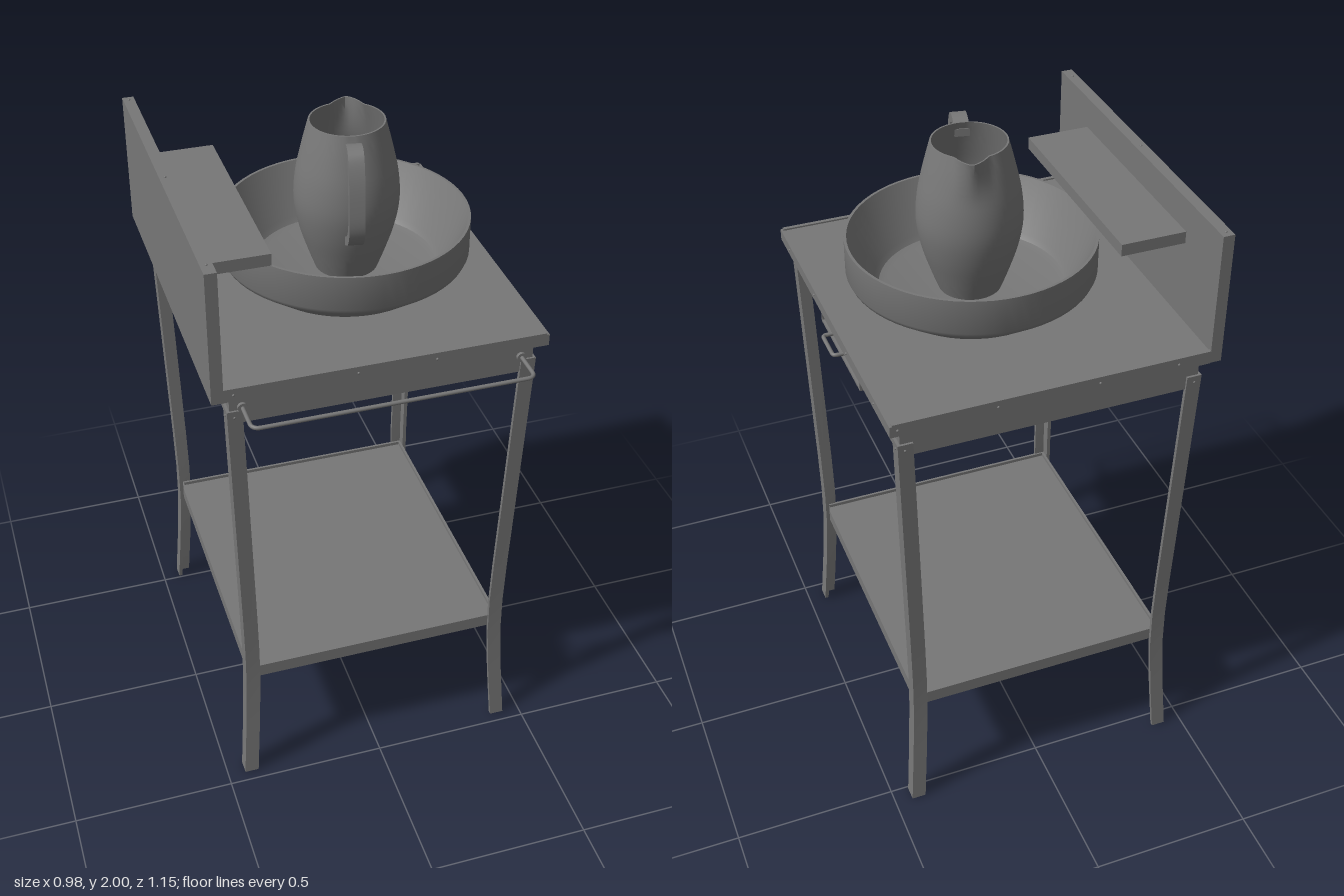
import * as THREE from 'three';
import { toCreasedNormals } from 'three/addons/utils/BufferGeometryUtils.js';

const darkGrey = new THREE.MeshStandardMaterial({ color: 0x777777 });

function add(parent, name, geo) {
  const mesh = new THREE.Mesh(geo, darkGrey);
  mesh.name = name;
  parent.add(mesh);
  return mesh;
}

// Box given by its limits on each axis
function box(parent, name, x0, x1, y0, y1, z0, z1) {
  const mesh = add(parent, name, new THREE.BoxGeometry(x1 - x0, y1 - y0, z1 - z0));
  mesh.position.set((x0 + x1) / 2, (y0 + y1) / 2, (z0 + z1) / 2);
  return mesh;
}

const vec2 = (list) => list.map(([a, b]) => new THREE.Vector2(a, b));

// Angle-iron leg: an L section, corner outward, swept up through a gentle bend
function legGeometry(sx, sz) {
  const w = 0.044, t = 0.012;
  const L = [[0, 0], [w, 0], [w, t], [t, t], [t, w], [0, w]];
  const section = sx * sz > 0 ? L : [L[0], ...L.slice(1).reverse()];
  const path = [[0, 0.445], [0.2, 0.431], [0.37, 0.422], [0.5, 0.421], [0.65, 0.424], [1.44, 0.446]];
  const n = section.length, pos = [], index = [];
  for (const [y, out] of path)
    for (const [a, b] of section) pos.push(sx * (out - a), y, -0.042 + sz * (out + 0.064 - b));
  for (let j = 0; j < path.length - 1; j++)
    for (let i = 0; i < n; i++) {
      const a = j * n + i, b = j * n + (i + 1) % n;
      index.push(a, a + n, b, b, a + n, b + n);
    }
  const top = (path.length - 1) * n;
  for (let i = 1; i < n - 1; i++) index.push(0, i, i + 1, top, top + i + 1, top + i);
  const geo = new THREE.BufferGeometry();
  geo.setAttribute('position', new THREE.Float32BufferAttribute(pos, 3));
  geo.setIndex(index);
  return toCreasedNormals(geo, 0.5);
}

// U-shaped rod along x, reaching out to +z, with rounded corners
function rodGeometry(half, depth, bend, radius) {
  const v = (x, z) => new THREE.Vector3(x, 0, z);
  const path = new THREE.CurvePath();
  path.add(new THREE.LineCurve3(v(-half, 0), v(-half, depth - bend)));
  path.add(new THREE.QuadraticBezierCurve3(v(-half, depth - bend), v(-half, depth), v(-half + bend, depth)));
  path.add(new THREE.LineCurve3(v(-half + bend, depth), v(half - bend, depth)));
  path.add(new THREE.QuadraticBezierCurve3(v(half - bend, depth), v(half, depth), v(half, depth - bend)));
  path.add(new THREE.LineCurve3(v(half, depth - bend), v(half, 0)));
  return new THREE.TubeGeometry(path, 160, radius, 10, false);
}

function makeTable() {
  const g = new THREE.Group();
  g.name = 'table';
  box(g, 'tableTop', -0.457, 0.472, 1.49, 1.525, -0.572, 0.488);
  for (const z of [-0.572, 0.476]) box(g, 'topHem', -0.457, 0.465, 1.52, 1.53, z, z + 0.012);
  box(g, 'apron', -0.438, 0.438, 1.397, 1.49, -0.545, 0.462);

  for (const sx of [-1, 1]) for (const sz of [-1, 1]) add(g, 'leg', legGeometry(sx, sz));

  // Lower shelf: a tray with a thin raised edge
  box(g, 'lowerShelf', -0.41, 0.41, 0.389, 0.421, -0.516, 0.434);
  for (const x of [-0.41, 0.402]) box(g, 'shelfLip', x, x + 0.008, 0.389, 0.432, -0.516, 0.434);
  for (const z of [-0.516, 0.426]) box(g, 'shelfLip', -0.41, 0.41, 0.389, 0.432, z, z + 0.008);

  // Splash board with its small ledge
  box(g, 'splashBoard', -0.491, -0.457, 1.49, 1.892, -0.57, 0.489);
  box(g, 'ledge', -0.457, -0.264, 1.762, 1.798, -0.373, 0.287);
  return g;
}

function makeDrawer() {
  const g = new THREE.Group();
  g.name = 'drawer';
  box(g, 'drawerFront', 0.42, 0.441, 1.402, 1.477, -0.22, 0.145);
  for (const y of [1.395, 1.475]) box(g, 'drawerFrame', 0.42, 0.448, y, y + 0.008, -0.225, 0.15);
  for (const z of [-0.225, 0.142]) box(g, 'drawerFrame', 0.42, 0.448, 1.395, 1.483, z, z + 0.008);
  const handle = add(g, 'drawerHandle', rodGeometry(0.053, 0.046, 0.012, 0.006));
  handle.rotation.y = Math.PI / 2;
  handle.position.set(0.438, 1.44, -0.043);
  for (const z of [-0.096, 0.01]) box(g, 'handlePlate', 0.438, 0.445, 1.428, 1.452, z - 0.018, z + 0.018);
  return g;
}

function makeRail() {
  const g = new THREE.Group();
  g.name = 'towelRail';
  const rail = add(g, 'rail', rodGeometry(0.402, 0.117, 0.025, 0.006));
  rail.position.set(0, 1.45, 0.452);
  for (const x of [-0.402, 0.402]) {
    const mount = add(g, 'railMount', new THREE.CylinderGeometry(0.014, 0.014, 0.01, 16));
    mount.rotation.x = Math.PI / 2;
    mount.position.set(x, 1.45, 0.466);
  }
  return g;
}

function makeRivets() {
  const g = new THREE.Group();
  g.name = 'rivets';
  const geo = new THREE.SphereGeometry(0.004, 10, 6);
  const rivet = (x, y, z) => add(g, 'rivet', geo).position.set(x, y, z);
  for (const x of [-0.43, -0.083, 0.142]) rivet(x, 1.51, 0.488);
  for (const x of [-0.36, -0.125, 0.17, 0.45]) rivet(x, 1.51, -0.572);
  for (const z of [-0.44, -0.195, 0.12, 0.385]) rivet(0.472, 1.51, z);
  // Nails in the top edge of the splash board
  for (const z of [-0.55, -0.04, 0.445]) rivet(-0.474, 1.892, z);
  // Leg fixings
  for (const s of [-1, 1]) {
    rivet(s * 0.425, 1.42, 0.467);
    rivet(s * 0.425, 1.42, -0.551);
    rivet(s * 0.445, 1.42, 0.448);
    rivet(s * 0.445, 1.42, -0.532);
  }
  return g;
}

function makeBasin() {
  const profile = vec2([[0, 1.525], [0.27, 1.525], [0.357, 1.592], [0.363, 1.605], [0.363, 1.71],
    [0.355, 1.71], [0.283, 1.562], [0.27, 1.546], [0.25, 1.54], [0, 1.538]]);
  const basin = new THREE.Mesh(toCreasedNormals(new THREE.LatheGeometry(profile, 64), 0.55), darkGrey);
  basin.name = 'basin';
  basin.position.set(0.037, 0, -0.022);
  return basin;
}

function makePitcher() {
  const g = new THREE.Group();
  g.name = 'pitcher';
  const outer = new THREE.SplineCurve(vec2([[0.092, 1.54], [0.114, 1.6], [0.139, 1.68], [0.152, 1.76],
    [0.147, 1.84], [0.13, 1.92], [0.109, 2]])).getPoints(24);
  const inner = outer.slice(1).reverse().map((p) => new THREE.Vector2(p.x - 0.005, p.y));
  const body = new THREE.LatheGeometry([new THREE.Vector2(0, 1.54), ...outer, ...inner,
    new THREE.Vector2(0, inner.at(-1).y)], 72);

  // Pull the rim out to a pointed spout, a little off the +x axis
  const p = body.attributes.position;
  for (let i = 0; i < p.count; i++) {
    const x = p.getX(i), z = p.getZ(i), r = Math.hypot(x, z);
    const around = Math.max(0, 1 - Math.abs(Math.atan2(z, x) - 0.12) / 0.45);
    const up = Math.max(0, (p.getY(i) - 1.87) / 0.13);
    const k = r > 0 ? 1 + 0.04 * around * up ** 1.5 / r : 1;
    p.setXYZ(i, x * k, p.getY(i), z * k);
  }
  add(g, 'pitcherBody', toCreasedNormals(body, 0.6));

  // Flat strap handle on the opposite side
  const outside = new THREE.SplineCurve(vec2([[-0.108, 1.978], [-0.152, 1.998], [-0.194, 1.988],
    [-0.221, 1.935], [-0.236, 1.86], [-0.239, 1.775], [-0.21, 1.722], [-0.14, 1.68]])).getPoints(32);
  const inside = new THREE.SplineCurve(vec2([[-0.14, 1.708], [-0.19, 1.74], [-0.212, 1.785],
    [-0.21, 1.855], [-0.196, 1.925], [-0.176, 1.966], [-0.15, 1.974], [-0.108, 1.955]])).getPoints(32);
  const strap = new THREE.ExtrudeGeometry(new THREE.Shape([...outside, ...inside]),
    { depth: 0.044, bevelEnabled: false });
  strap.translate(0, 0, -0.022);
  add(g, 'pitcherHandle', toCreasedNormals(strap, 0.6));

  g.rotation.y = 1.39;
  g.position.set(0.043, 0, -0.024);
  return g;
}

export function createModel() {
  const model = new THREE.Group();
  model.name = 'washstand';
  model.add(makeTable(), makeDrawer(), makeRail(), makeRivets(), makeBasin(), makePitcher());
  return model;
}
